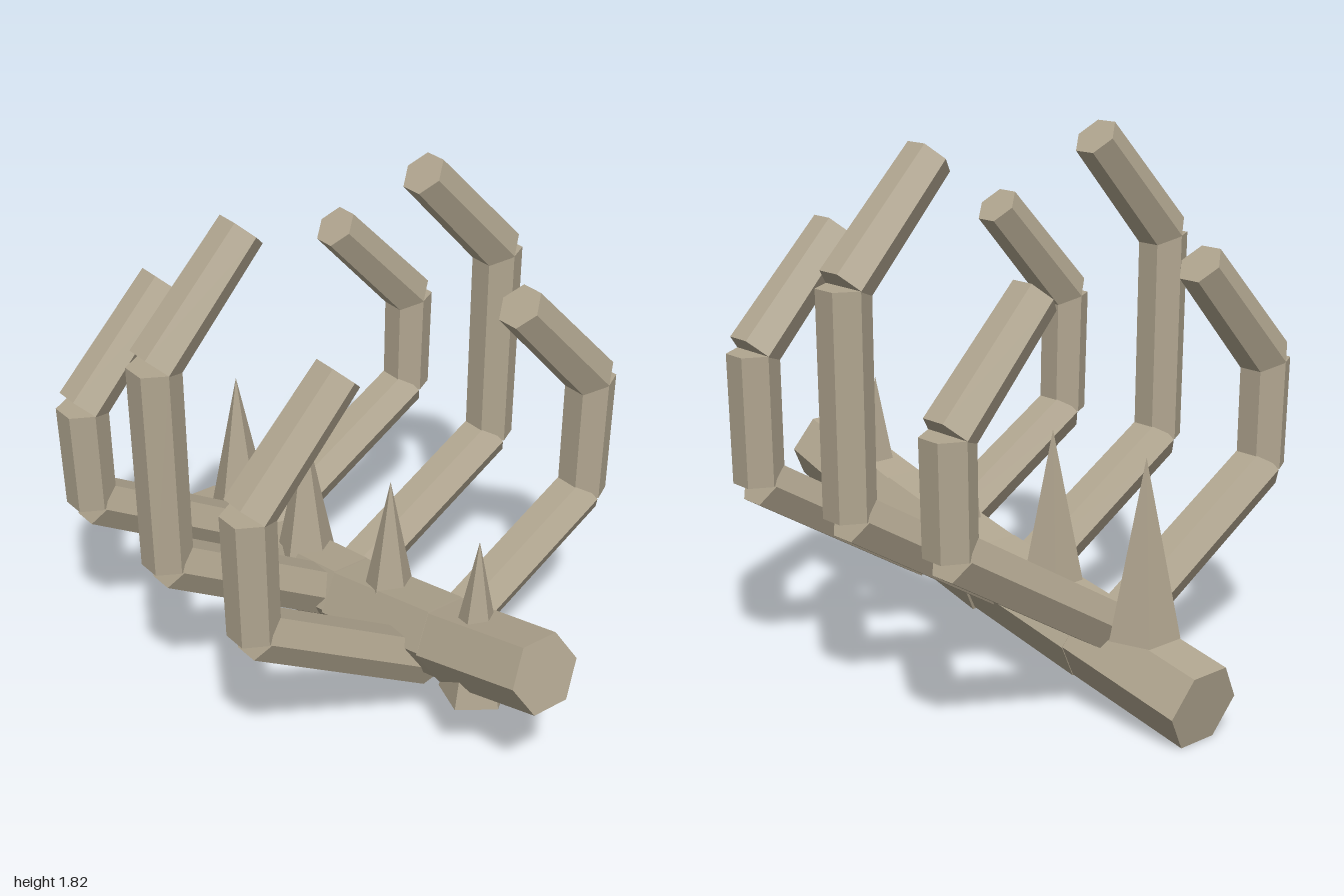
import * as THREE from 'three';

export function createModel() {
  const model = new THREE.Group();
  model.name = 'ribcage';
  const bone = new THREE.MeshStandardMaterial({ color: 0xb0a58f });
  bone.name = 'bone';

  // Flat-faced hexagonal bone running from a to b; spin turns its corners about its axis
  function boneSegment(name, a, b, r0, r1, spin, parent) {
    const from = new THREE.Vector3(...a), to = new THREE.Vector3(...b);
    const dir = to.clone().sub(from);
    const geo = new THREE.CylinderGeometry(r1, r0, dir.length(), 6).rotateY(spin).toNonIndexed();
    geo.computeVertexNormals();
    const mesh = new THREE.Mesh(geo, bone);
    mesh.name = name;
    mesh.position.copy(from).add(to).multiplyScalar(0.5);
    mesh.quaternion.setFromUnitVectors(new THREE.Vector3(0, 1, 0), dir.normalize());
    parent.add(mesh);
  }

  // Spine: four vertebrae climbing towards +x
  const spine = new THREE.Group();
  spine.name = 'spine';
  [
    [[-0.975, 0.13], [-0.49, 0.222], 0.143, 0.143],
    [[-0.492, 0.22], [-0.005, 0.313], 0.145, 0.141],
    [[-0.005, 0.305], [0.51, 0.432], 0.145, 0.141],
    [[0.508, 0.425], [0.965, 0.56], 0.143, 0.134],
  ].forEach(([a, b, r0, r1], i) =>
    boneSegment('vertebra' + (i + 1), [...a, 0], [...b, 0], r0, r1, 0, spine));
  model.add(spine);

  // Ribs: mirrored pairs, each a slanted root, an upright shaft and an inward tip
  const ribs = [[-0.585, 1.06], [-0.105, 1.42], [0.385, 1.13]];
  ribs.forEach(([x, bend], i) => {
    for (const s of [1, -1]) {
      const rib = new THREE.Group();
      rib.name = (s > 0 ? 'frontRib' : 'backRib') + (i + 1);
      const hex = Math.PI / 6;
      boneSegment('ribRoot', [x, 0.277, 0], [x, 0.69, s * 0.685], 0.09, 0.088, hex, rib);
      boneSegment('ribShaft', [x, 0.69, s * 0.692], [x, bend, s * 0.7], 0.085, 0.087, hex, rib);
      boneSegment('ribTip', [x, bend, s * 0.7], [x, bend + 0.363, s * 0.36], 0.088, 0.08, hex, rib);
      model.add(rib);
    }
  });

  // Five-sided spikes along the spine
  const spikeGeo = new THREE.ConeGeometry(0.12, 0.59, 5).rotateY(Math.PI / 2).toNonIndexed();
  spikeGeo.computeVertexNormals();
  [-0.71, -0.29, 0.19, 0.64].forEach((x, i) => {
    const spike = new THREE.Mesh(spikeGeo, bone);
    spike.name = 'spike' + (i + 1);
    spike.position.set(x, 0.585, 0);
    model.add(spike);
  });

  return model;
}
